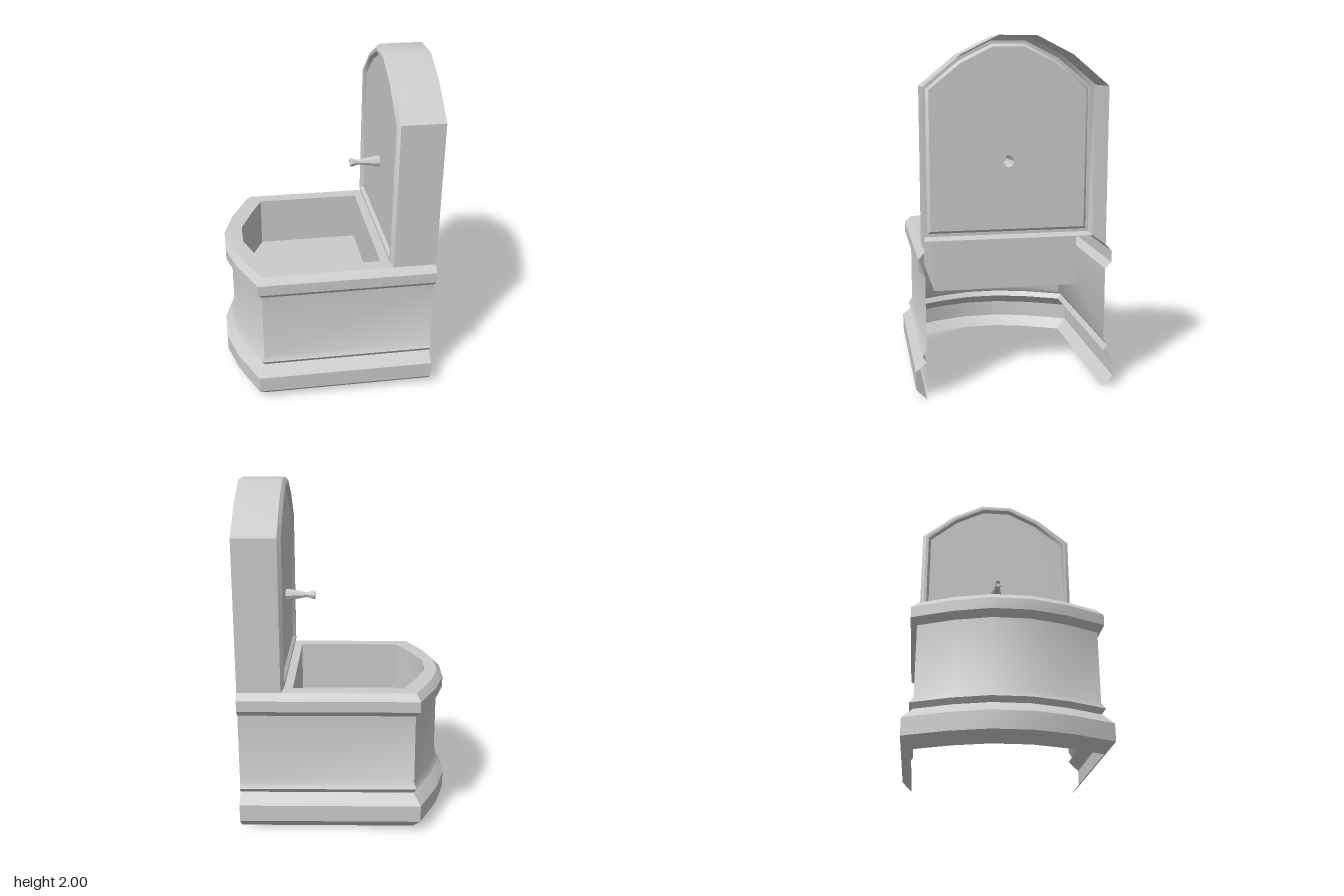
import * as THREE from 'three';
import { toCreasedNormals } from 'three/addons/utils/BufferGeometryUtils.js';

const BACK = 0.617, PANEL_X = 0.365, RIM_Y = 0.845;
const material = new THREE.MeshStandardMaterial({ color: 0xcccccc, side: THREE.DoubleSide });

function part(name, geometry) {
  const mesh = new THREE.Mesh(toCreasedNormals(geometry, 0.7), material);
  mesh.name = name;
  return mesh;
}

// Shift a 2D path sideways with mitred corners.
function offset(path, d, closed = false) {
  const n = path.length;
  const normal = (a, b) => {
    const dx = b[0] - a[0], dy = b[1] - a[1], len = Math.hypot(dx, dy);
    return [dy / len, -dx / len];
  };
  return path.map((p, i) => {
    const prev = closed ? path[(i + n - 1) % n] : path[i - 1];
    const next = closed ? path[(i + 1) % n] : path[i + 1];
    const a = normal(prev ?? p, prev ? p : next);
    const b = normal(next ? p : prev, next ?? p);
    const k = d / (1 + a[0] * b[0] + a[1] * b[1]);
    return [p[0] + (a[0] + b[0]) * k, p[1] + (a[1] + b[1]) * k];
  });
}

// Skin a list of equal-length rings of 3D points.
function loft(rings, closed = false) {
  const n = rings[0].length, index = [];
  for (let i = 0; i < rings.length - 1; i++) {
    for (let j = 0; j < (closed ? n : n - 1); j++) {
      const k = (j + 1) % n;
      const a = i * n + j, b = i * n + k, c = a + n, d = b + n;
      index.push(a, c, b, b, c, d);
    }
  }
  const geometry = new THREE.BufferGeometry();
  geometry.setAttribute('position', new THREE.Float32BufferAttribute(rings.flat(2), 3));
  geometry.setIndex(index);
  return geometry;
}

const shapeOf = (path) => new THREE.Shape(path.map(([x, y]) => new THREE.Vector2(x, y)));

// Mirror half a plan outline (x, z) across the centre line.
const mirrored = (half) => [...half, ...half.map(([x, z]) => [x, -z]).reverse()];
const bodyPlan = (backX) => mirrored([[backX, 0.51], [-0.41, 0.51], [-0.505, 0.305], [-0.562, 0.105]]);
const basinPlan = mirrored([[0.3, 0.43], [-0.344, 0.43], [-0.422, 0.258], [-0.489, 0.09]]);
const atHeight = (path, y) => path.map(([x, z]) => [x, y, z]);
const atDepth = (path, x) => path.map(([z, y]) => [x, y, z]);

export function createModel() {
  const fountain = new THREE.Group();
  fountain.name = 'wallFountain';

  // Moulded outer wall, open at the back and underneath: [projection, height]
  const moulding = [
    [0, 0], [0.06, 0.06], [0.06, 0.16], [0, 0.22], [0.022, 0.25], [0, 0.285],
    [0, 0.705], [0.037, 0.742], [0.037, 0.806], [0, RIM_Y],
  ];
  fountain.add(part('outerWall', loft(
    moulding.map(([d, y]) => atHeight(offset(bodyPlan(BACK), d), y)))));

  // Flat rim, then the basin walls and floor
  fountain.add(part('rim', loft(
    [atHeight(bodyPlan(PANEL_X), RIM_Y), atHeight(basinPlan, RIM_Y)], true)));
  fountain.add(part('basinWalls', loft(
    [atHeight(basinPlan, RIM_Y), atHeight(basinPlan, 0.53)], true)));
  const floor = new THREE.ShapeGeometry(shapeOf(basinPlan));
  floor.rotateX(-Math.PI / 2).translate(0, 0.53, 0);
  fountain.add(part('basinFloor', floor));

  // Arched upright: outline as (z, y)
  const arch = [
    [-0.51, RIM_Y], [-0.51, 1.73], [-0.305, 1.9], [-0.103, 2],
    [0.103, 2], [0.305, 1.9], [0.51, 1.73], [0.51, RIM_Y],
  ];
  fountain.add(part('archSides', loft([atDepth(arch, BACK), atDepth(arch, PANEL_X)])));

  // Raised frame around the recessed panel: [inset, x]
  const frame = [[0, PANEL_X], [0.022, 0.345], [0.04, 0.345], [0.056, PANEL_X]];
  fountain.add(part('archFrame', loft(
    frame.map(([d, x]) => atDepth(offset(arch, d, true), x)), true)));

  // Recessed panel with a hole behind the spout
  const spoutY = 1.297, spoutR = 0.036, sides = 8;
  const panelShape = shapeOf(offset(arch, 0.056, true));
  const hole = [];
  for (let i = 0; i < sides; i++) {
    const a = (i / sides) * Math.PI * 2;
    hole.push(new THREE.Vector2(Math.sin(a) * spoutR, spoutY + Math.cos(a) * spoutR));
  }
  panelShape.holes.push(new THREE.Path(hole));
  const panel = new THREE.ShapeGeometry(panelShape);
  panel.rotateY(-Math.PI / 2).translate(PANEL_X, 0, 0);
  fountain.add(part('recessedPanel', panel));

  // Flared spout with a hollow mouth: [radius, distance from panel]
  const spoutProfile = [
    [spoutR, 0], [0.035, 0.022], [0.016, 0.125], [0.019, 0.145],
    [0.027, 0.165], [0.027, 0.18], [0.017, 0.18], [0.012, 0.155], [0, 0.155],
  ].map(([r, d]) => new THREE.Vector2(r, d));
  const spout = new THREE.LatheGeometry(spoutProfile, sides);
  spout.rotateZ(Math.PI / 2).translate(PANEL_X, spoutY, 0);
  fountain.add(part('spout', spout));

  return fountain;
}
